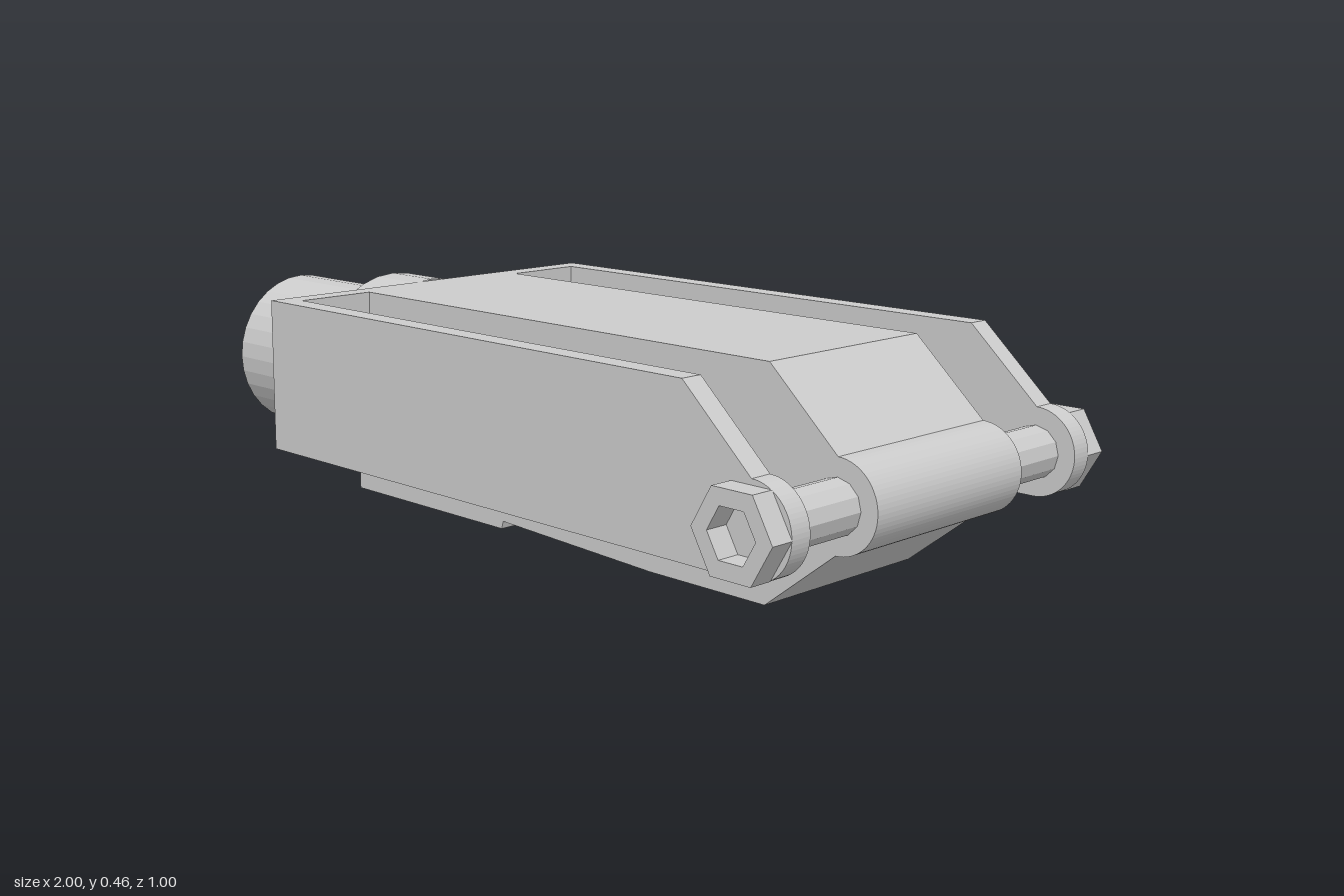
import * as THREE from 'three';

const PIN_X = 0.908, PIN_Y = 0.22, LUG_R = 0.091, PIPE_Y = 0.235;

export function createModel() {
  const group = new THREE.Group();
  const material = new THREE.MeshStandardMaterial({ color: 0xcccccc, flatShading: true });

  const add = (name, geometry, x = 0, y = 0, z = 0) => {
    const mesh = new THREE.Mesh(geometry, material);
    mesh.name = name;
    mesh.position.set(x, y, z);
    group.add(mesh);
    return mesh;
  };

  // Side profile ending in a round lug about the pin; lower points run back from the lug
  const profile = (lower) => {
    const s = new THREE.Shape();
    s.moveTo(-0.48, 0.46);
    s.lineTo(0.745, 0.46);
    s.lineTo(PIN_X, PIN_Y + LUG_R);
    s.absarc(PIN_X, PIN_Y, LUG_R, Math.PI / 2, -Math.PI / 2, true);
    lower.forEach(([x, y]) => s.lineTo(x, y));
    s.closePath();
    return s;
  };
  const extrude = (shape, depth) =>
    new THREE.ExtrudeGeometry(shape, { depth, bevelEnabled: false, curveSegments: 16 });
  const hexagon = (r, Type = THREE.Shape) => new Type(
    Array.from({ length: 6 }, (_, i) =>
      new THREE.Vector2(r * Math.cos(i * Math.PI / 3), r * Math.sin(i * Math.PI / 3))));

  // Central body, with a shallow stepped ramp underneath
  const body = profile([[0.745, 0], [0.45, 0], [0.015, 0.017], [0.01, 0], [-0.48, 0]]);
  add('centralBody', extrude(body, 0.44), 0, 0, -0.22);

  // Side plates and the rear wall joining them
  const plate = profile([[-0.48, PIN_Y - LUG_R]]);
  add('leftPlate', extrude(plate, 0.048), 0, 0, 0.403);
  add('rightPlate', extrude(plate, 0.048), 0, 0, -0.451);
  add('rearWall', new THREE.BoxGeometry(0.048, 0.331, 0.81), -0.456, 0.2945, 0);

  // Hollow pipe with its collar
  const pipeProfile = [
    [0.148, -0.48], [0.148, -1], [0.185, -1], [0.185, -0.625], [0.228, -0.625], [0.228, -0.48],
  ].map(([r, x]) => new THREE.Vector2(r, -x));
  const pipe = add('pipeAndCollar', new THREE.LatheGeometry(pipeProfile.reverse(), 32), 0, PIPE_Y, 0);
  pipe.rotation.z = Math.PI / 2;
  pipe.material = material.clone();
  pipe.material.side = THREE.DoubleSide;

  // Cross pin with a socketed front head and a plain back head
  const pin = new THREE.CylinderGeometry(0.054, 0.054, 0.9, 12).rotateX(Math.PI / 2);
  add('crossPin', pin, PIN_X, PIN_Y, 0);
  const socketHead = hexagon(0.092);
  socketHead.holes.push(hexagon(0.055, THREE.Path));
  add('socketHead', extrude(socketHead, 0.05), PIN_X, PIN_Y, 0.451);
  add('plainHead', extrude(hexagon(0.092), 0.05), PIN_X, PIN_Y, -0.501);

  return group;
}
